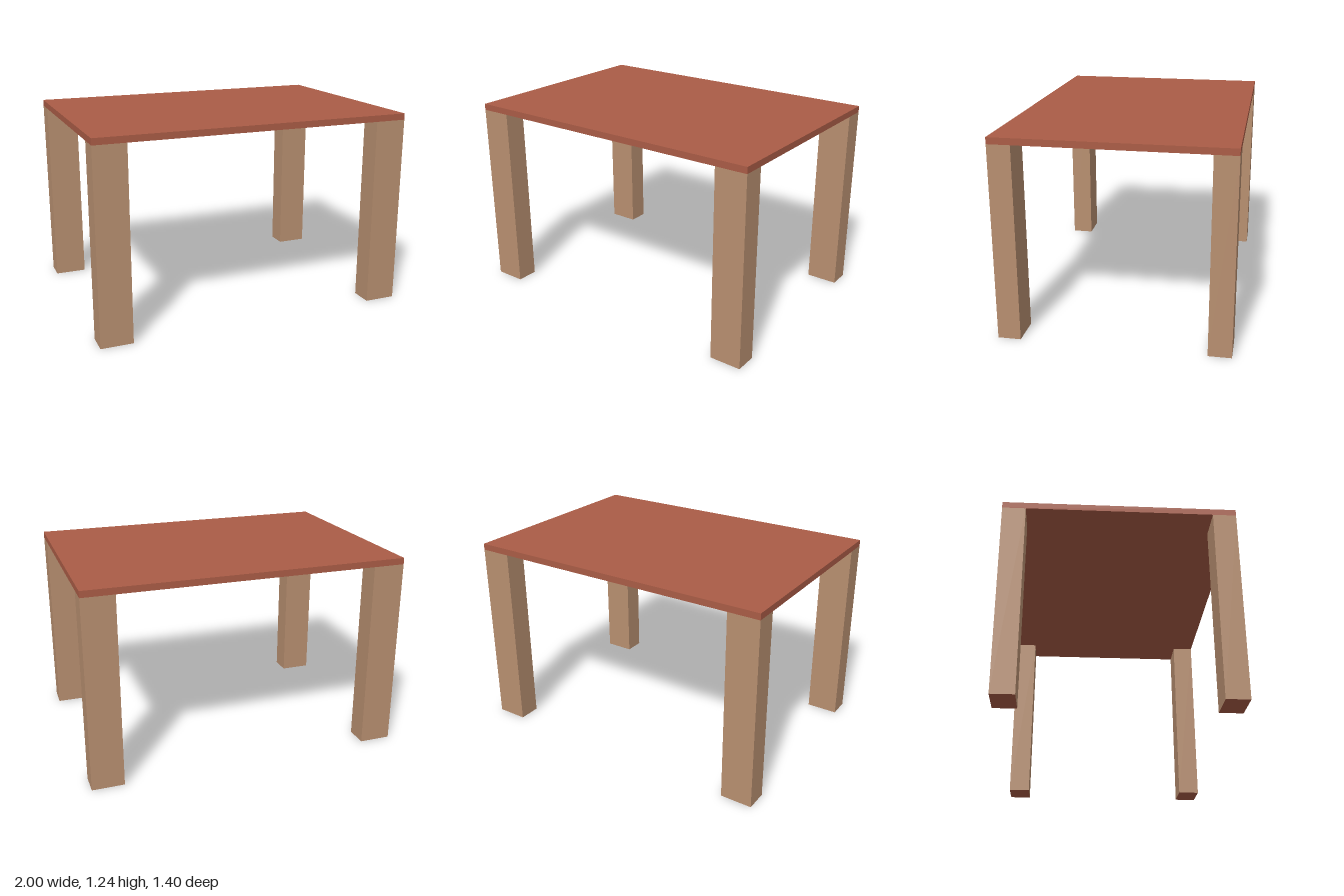
import * as THREE from 'three';

export function createModel() {
  const table = new THREE.Group();
  table.name = 'table';

  const red = new THREE.MeshStandardMaterial({ color: 0xaa5c46 });
  const tan = new THREE.MeshStandardMaterial({ color: 0xb88f70 });

  const width = 2, depth = 1.4, legHeight = 1.2, topThickness = 0.04;
  const legWidth = 0.2, legDepth = 0.14;

  // Thin rectangular slab
  const top = new THREE.Mesh(new THREE.BoxGeometry(width, topThickness, depth), red);
  top.name = 'tableTop';
  top.position.y = legHeight + topThickness / 2;
  table.add(top);

  // Four legs flush with the corners; tan sides, red end faces
  const legGeometry = new THREE.BoxGeometry(legWidth, legHeight, legDepth);
  const legMaterials = [tan, tan, red, red, tan, tan];
  for (const sx of [-1, 1]) {
    for (const sz of [-1, 1]) {
      const leg = new THREE.Mesh(legGeometry, legMaterials);
      leg.name = (sz > 0 ? 'front' : 'back') + (sx > 0 ? 'Left' : 'Right') + 'Leg';
      leg.position.set(sx * (width - legWidth) / 2, legHeight / 2, sz * (depth - legDepth) / 2);
      table.add(leg);
    }
  }

  return table;
}
